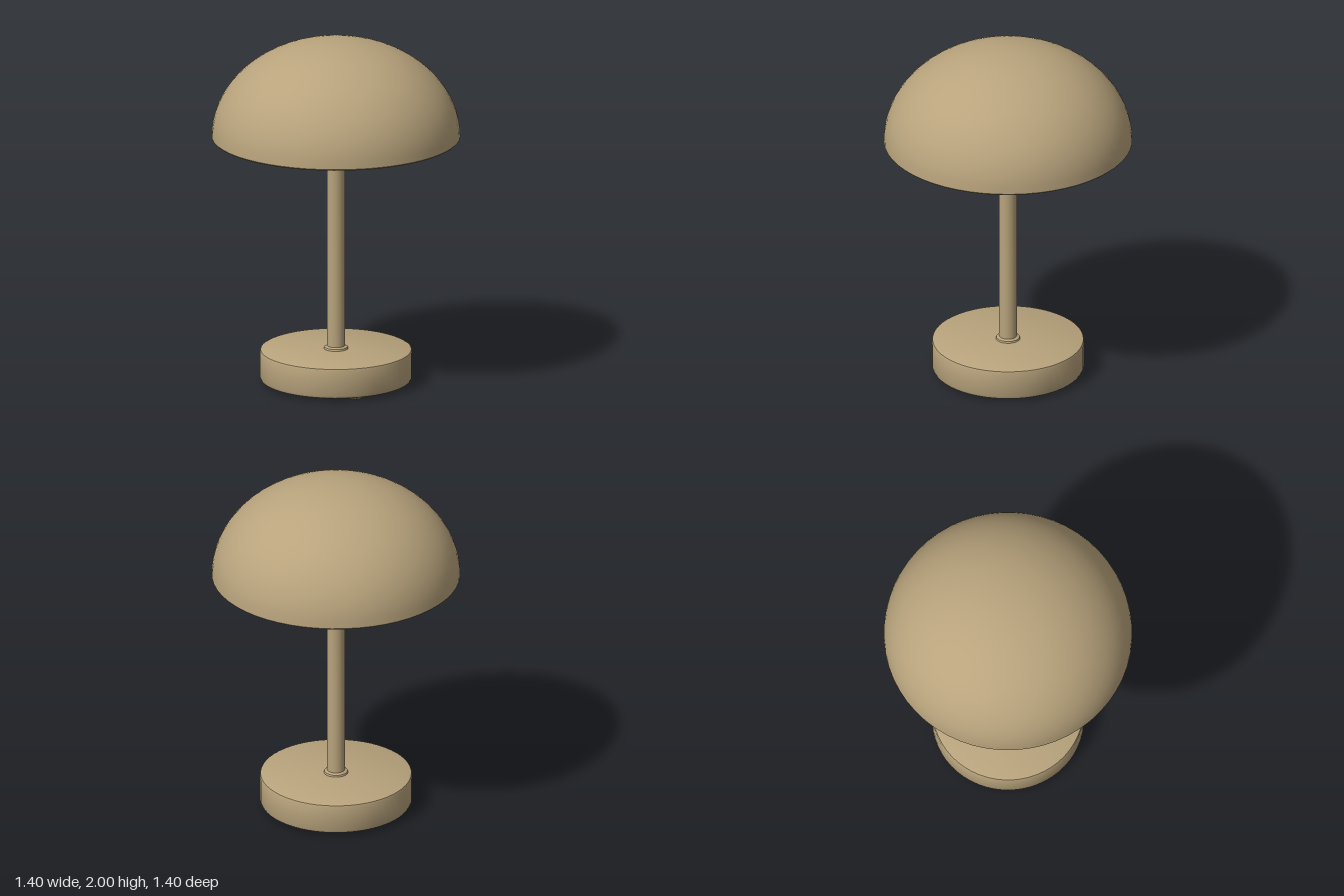
import * as THREE from 'three';
import { toCreasedNormals } from 'three/addons/utils/BufferGeometryUtils.js';

const SIDES = 56;

export function createModel() {
  const lamp = new THREE.Group();
  lamp.name = 'tableLamp';

  const beige = new THREE.MeshStandardMaterial({ color: 0xb8a37c });
  beige.name = 'beige';

  // Turned part from a bottom-to-top list of [radius, height] points
  const turned = (name, points, sides = SIDES) => {
    const profile = points.map(([r, y]) => new THREE.Vector2(r, y));
    const geometry = toCreasedNormals(new THREE.LatheGeometry(profile, sides), 0.6);
    const mesh = new THREE.Mesh(geometry, beige);
    mesh.name = name;
    lamp.add(mesh);
    return mesh;
  };

  // Domed shade, closed below, with a softened lower rim
  const dome = [[0, 1.435], [0.655, 1.435], [0.68, 1.431], [0.695, 1.432]];
  const steps = 20;
  for (let i = 0; i <= steps; i++) {
    const a = (i / steps) * Math.PI / 2;
    dome.push([i === steps ? 0 : 0.702 * Math.cos(a), 1.44 + 0.56 * Math.sin(a)]);
  }
  turned('shade', dome);

  // Slim stem
  turned('stem', [[0, 0.18], [0.05, 0.18], [0.05, 1.44], [0, 1.44]], 24);

  // Small collar where the stem meets the base
  turned('collar', [[0, 0.19], [0.07, 0.19], [0.066, 0.205], [0.05, 0.212], [0, 0.212]], 24);

  // Heavy round base with slightly eased edges
  turned('base', [
    [0, 0.015], [0.41, 0.015], [0.424, 0.021], [0.43, 0.035],
    [0.43, 0.178], [0.426, 0.19], [0.415, 0.195], [0, 0.195],
  ]);

  // Four low pads under the base
  for (const x of [-1, 1]) {
    for (const z of [-1, 1]) {
      const foot = turned('foot', [[0, 0], [0.035, 0], [0.05, 0.018], [0, 0.018]], 16);
      foot.position.set(x * 0.25, 0, z * 0.25);
    }
  }

  return lamp;
}
